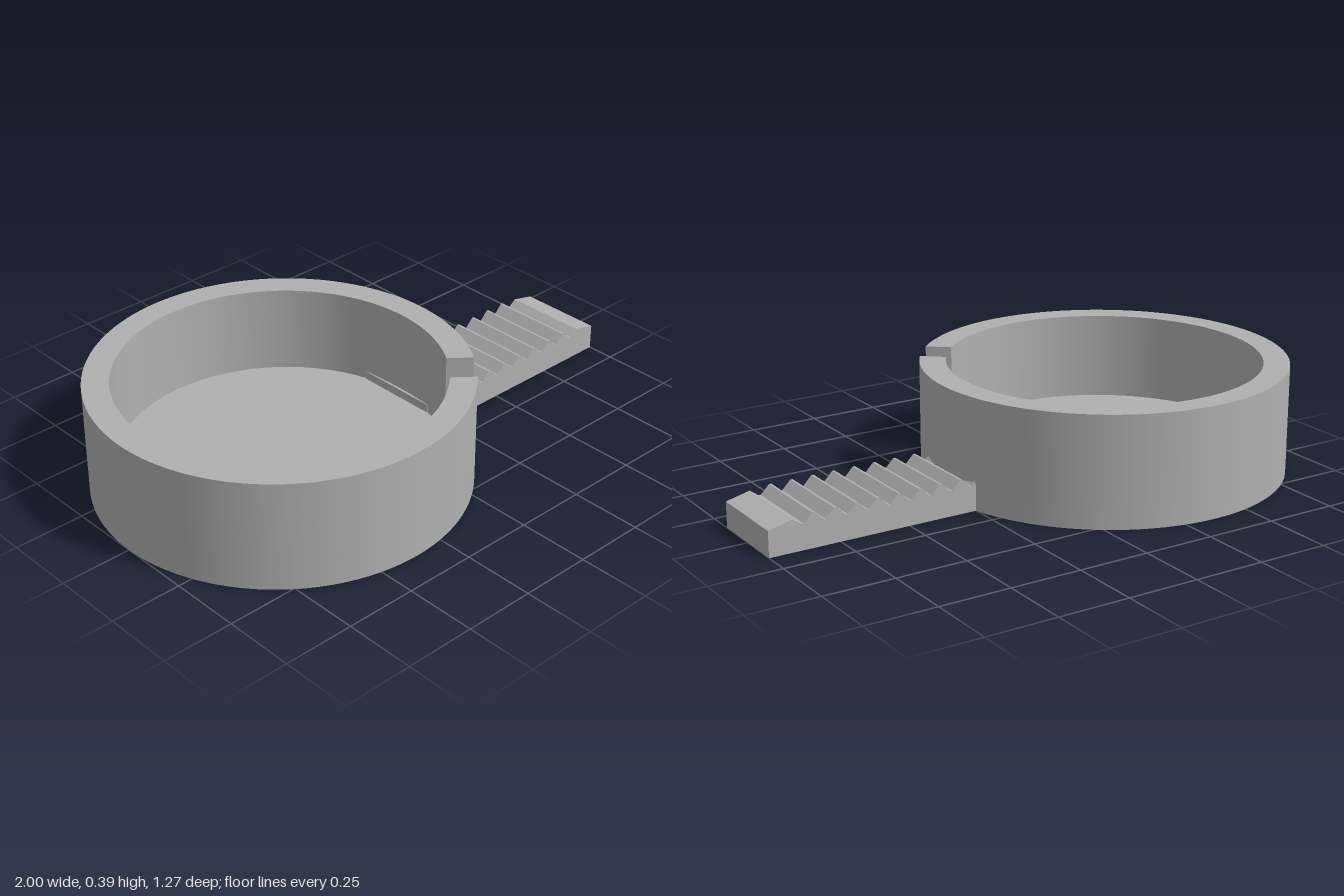
import * as THREE from 'three';
import { toCreasedNormals } from 'three/addons/utils/BufferGeometryUtils.js';

const CX = -0.365;                 // centre of the cup
const OUTER = 0.635, INNER = 0.545;
const HEIGHT = 0.387, FLOOR = 0.08;
const SLOT_HALF = 0.06, SLOT_ANGLE = THREE.MathUtils.degToRad(40);

export function createModel() {
  const model = new THREE.Group();
  model.name = 'slottedCup';
  const grey = new THREE.MeshStandardMaterial({ color: 0xb0b0b0 });
  grey.name = 'grey';

  const add = (name, geometry, x = 0, y = 0) => {
    const mesh = new THREE.Mesh(geometry, grey);
    mesh.name = name;
    mesh.position.set(x, y, 0);
    model.add(mesh);
  };

  // Solid floor disc
  add('cupFloor', new THREE.CylinderGeometry(OUTER, OUTER, FLOOR, 128), CX, FLOOR / 2);

  // Ring wall with one parallel-sided slot cut down to the floor
  const a = Math.asin(SLOT_HALF / OUTER), b = Math.asin(SLOT_HALF / INNER);
  const ring = new THREE.Shape();
  ring.absarc(0, 0, OUTER, a, Math.PI * 2 - a, false);
  ring.absarc(0, 0, INNER, Math.PI * 2 - b, b, true);
  ring.closePath();
  const wall = new THREE.ExtrudeGeometry(ring, {
    depth: HEIGHT - FLOOR, bevelEnabled: false, curveSegments: 128,
  });
  wall.rotateX(-Math.PI / 2);
  wall.rotateY(-SLOT_ANGLE);
  add('cupWall', toCreasedNormals(wall, 0.5), CX, FLOOR);

  // Toothed handle: side profile extruded across its width
  const start = 0.155, pitch = 0.0765, low = 0.088, high = 0.119, flat = 0.004;
  const profile = new THREE.Shape();
  profile.moveTo(start, 0);
  profile.lineTo(1, 0);
  profile.lineTo(1, 0.09);
  profile.lineTo(0.915, 0.11);
  for (let i = 0; i < 9; i++) {
    const tip = 0.843 - i * pitch, valley = tip + pitch / 2;
    profile.lineTo(valley + flat, low);
    profile.lineTo(valley - flat, low);
    profile.lineTo(tip + flat, high);
    profile.lineTo(tip - flat, high);
  }
  profile.lineTo(0.193, low);
  profile.lineTo(start, 0.11);
  profile.closePath();
  const handle = new THREE.ExtrudeGeometry(profile, { depth: 0.304, bevelEnabled: false });
  handle.translate(0, 0, -0.152);
  add('toothedHandle', handle);

  return model;
}
